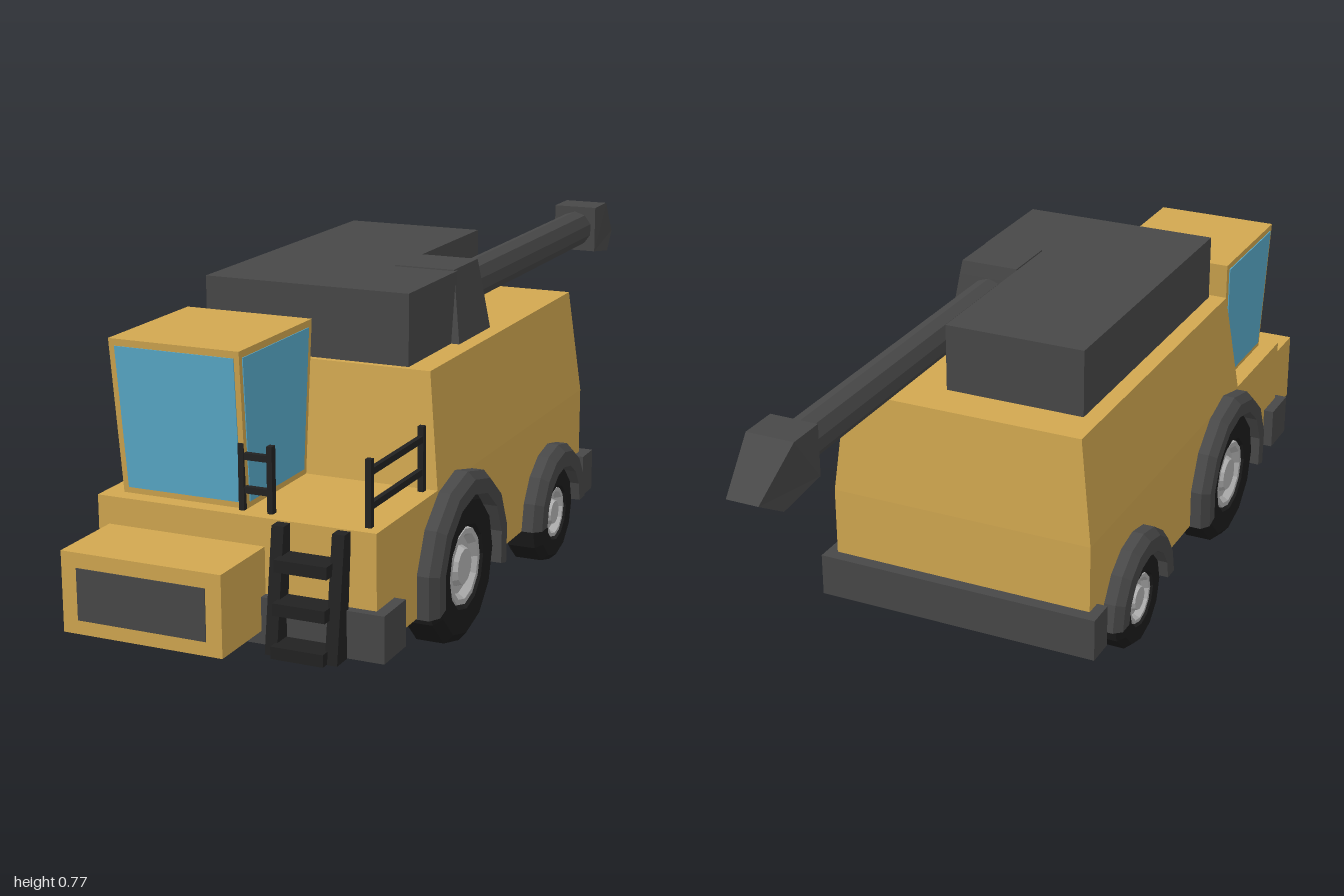
import * as THREE from 'three';

const mat = (color) => new THREE.MeshStandardMaterial({ color, flatShading: true, side: THREE.DoubleSide });

export function createModel() {
  const model = new THREE.Group();
  const paint = mat(0xd2a850), dark = mat(0x484848), black = mat(0x222222);
  const glass = mat(0x5aaccc), metal = mat(0xb4b4b4), rubber = mat(0x1c1c1c);

  const add = (name, geometry, material, parent = model) => {
    const mesh = new THREE.Mesh(geometry, material);
    mesh.name = name;
    parent.add(mesh);
    return mesh;
  };

  // Block between a lower and an upper rectangle, each [x0, x1, z0, z1]
  const block = (name, y0, y1, low, high, material, parent) => {
    const g = new THREE.BoxGeometry(1, 1, 1);
    const p = g.attributes.position;
    for (let i = 0; i < p.count; i++) {
      const up = p.getY(i) > 0;
      const r = up ? high : low;
      p.setXYZ(i, r[p.getX(i) > 0 ? 1 : 0], up ? y1 : y0, r[p.getZ(i) > 0 ? 3 : 2]);
    }
    g.computeVertexNormals();
    return add(name, g, material, parent);
  };
  const box = (name, x0, x1, y0, y1, z0, z1, material, parent) =>
    block(name, y0, y1, [x0, x1, z0, z1], [x0, x1, z0, z1], material, parent);

  // Body
  box('lowerBody', -0.315, 0.315, 0.12, 0.365, -0.4, 0.815, paint);
  block('upperBody', 0.365, 0.61, [-0.315, 0.315, -0.4, 0.51], [-0.285, 0.285, -0.385, 0.48], paint);
  box('frontBumper', -0.34, 0.34, 0.105, 0.205, 0.73, 0.835, dark);
  box('rearBumper', -0.34, 0.34, 0.105, 0.205, -0.43, -0.36, dark);

  // Feeder box with its intake
  box('feederHouse', -0.29, 0.07, 0.133, 0.305, 0.78, 0.998, paint);
  box('feederIntake', -0.255, 0.035, 0.163, 0.273, 0.99, 1, dark);

  // Cab, with the glass standing just proud of the frame
  block('cab', 0.365, 0.695, [-0.274, 0.012, 0.51, 0.778], [-0.286, 0.012, 0.475, 0.8], paint);
  block('sideWindows', 0.378, 0.68, [-0.277, 0.014, 0.523, 0.766], [-0.288, 0.014, 0.492, 0.787], glass);
  block('windshield', 0.378, 0.68, [-0.261, 0, 0.74, 0.781], [-0.272, 0, 0.74, 0.801], glass);

  // Grain tank, cut away behind the auger
  box('tankFront', -0.245, 0.23, 0.6, 0.765, 0.2, 0.465, dark);
  box('tankRear', -0.245, 0.085, 0.6, 0.765, -0.285, 0.2, dark);

  // Unloading auger
  block('augerBase', 0.605, 0.735, [0.08, 0.25, 0.05, 0.235], [0.08, 0.23, 0.065, 0.213], dark);
  block('augerCap', 0.735, 0.768, [0.08, 0.23, 0.065, 0.213], [0.085, 0.225, 0.07, 0.208], dark);
  const tube = add('augerTube', new THREE.CylinderGeometry(0.045, 0.045, 0.92, 10).rotateX(Math.PI / 2), dark);
  tube.position.set(0.155, 0.69, -0.36);

  const spoutSide = new THREE.Shape([
    [-0.8, 0.633], [-0.8, 0.748], [-0.89, 0.748], [-1, 0.655], [-0.93, 0.613],
  ].map(([z, y]) => new THREE.Vector2(z, y)));
  const spout = new THREE.ExtrudeGeometry(spoutSide, { depth: 0.11, bevelEnabled: false });
  spout.translate(0, 0, -0.055).rotateY(-Math.PI / 2);
  const sp = spout.attributes.position;
  for (let i = 0; i < sp.count; i++) {
    // narrow towards the tip
    const t = Math.max(0, (-0.89 - sp.getZ(i)) / 0.11);
    sp.setX(i, sp.getX(i) * (1 - 0.33 * t));
  }
  spout.computeVertexNormals();
  add('augerSpout', spout, dark).position.x = 0.155;

  // Wheels and fenders: profiles [radius, x] turned about the axle
  const turned = (profile, sides, start = 0, length = Math.PI * 2) =>
    new THREE.LatheGeometry(profile.map(([r, x]) => new THREE.Vector2(r, x)), sides, start, length)
      .rotateZ(-Math.PI / 2);

  const wheel = (name, r, y, z, fenderR, droop) => {
    for (const side of [1, -1]) {
      const g = new THREE.Group();
      g.name = name + (side > 0 ? 'Left' : 'Right');
      g.position.set(0, y, z);
      g.rotation.y = side > 0 ? 0 : Math.PI;
      model.add(g);
      add('tire', turned([
        [0, 0.245], [0.86 * r, 0.245], [r, 0.262], [r, 0.325],
        [0.88 * r, 0.342], [0.56 * r, 0.342], [0.5 * r, 0.322],
      ], 12), rubber, g);
      add('rim', turned([
        [0.52 * r, 0.32], [0.5 * r, 0.338], [0.43 * r, 0.338], [0.37 * r, 0.322],
        [0.27 * r, 0.322], [0.23 * r, 0.337], [0, 0.337],
      ], 12), metal, g);
      const inner = 0.96 * r;
      add('fender', turned([
        [inner, 0.3], [fenderR, 0.3], [fenderR, 0.342], [fenderR - 0.016, 0.36],
        [inner, 0.36], [inner, 0.3],
      ], 8, -Math.PI - droop, Math.PI + 2 * droop), dark, g);
    }
  };
  wheel('frontWheel', 0.17, 0.17, 0.41, 0.212, 0.25);
  wheel('rearWheel', 0.12, 0.12, -0.165, 0.168, 0);

  // Platform handrails
  const front = new THREE.Group();
  front.name = 'frontHandrail';
  const sideRail = new THREE.Group();
  sideRail.name = 'sideHandrail';
  model.add(front, sideRail);
  for (const x of [0.006, 0.07]) box('post', x - 0.006, x + 0.006, 0.365, 0.505, 0.774, 0.79, black, front);
  for (const z of [0.525, 0.783]) box('post', 0.279, 0.292, 0.365, 0.505, z - 0.007, z + 0.007, black, sideRail);
  for (const y of [0.408, 0.478]) {
    box('bar', 0, 0.076, y - 0.007, y + 0.007, 0.776, 0.788, black, front);
    box('bar', 0.28, 0.291, y - 0.007, y + 0.007, 0.525, 0.783, black, sideRail);
  }

  // Sloping ladder
  const ladder = new THREE.Group();
  ladder.name = 'ladder';
  model.add(ladder);
  for (const x of [0.1, 0.232])
    block('stile', 0.104, 0.362, [x, x + 0.027, 0.835, 0.88], [x, x + 0.027, 0.812, 0.842], black, ladder);
  [0.118, 0.205, 0.292].forEach((y, i) => {
    const z = 0.898 - i * 0.01;
    box('rung', 0.122, 0.237, y - 0.013, y + 0.013, z - 0.06, z, black, ladder);
  });

  return model;
}
